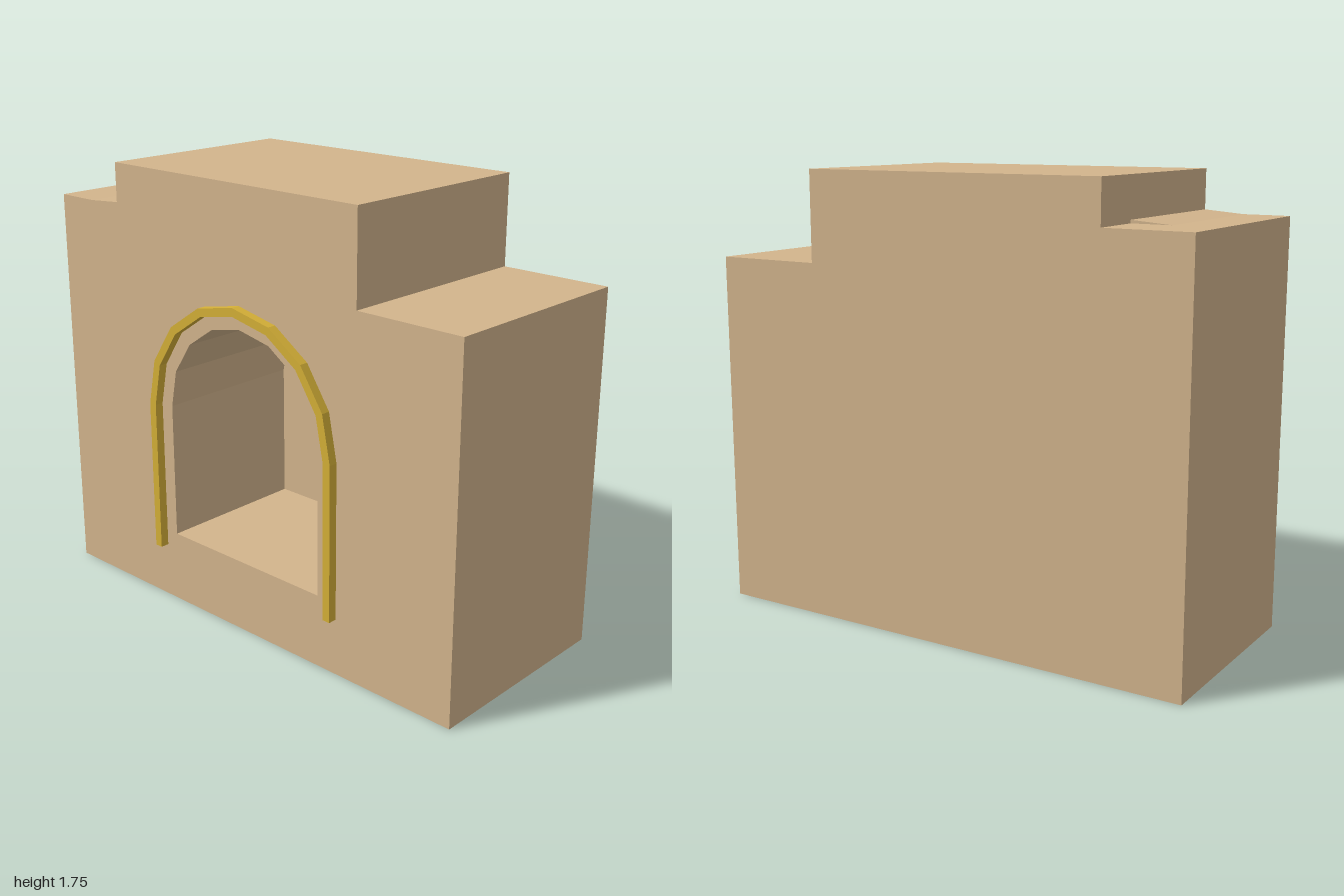
import * as THREE from 'three';

const FRONT = 0.4, BACK = -0.435, NICHE_BACK = -0.22;
const SPRING = 0.835; // height where the arches start to curve

// Upright arch outline, counter-clockwise from its lower right corner
function archPoints(radius, bottom, steps = 8) {
  const pts = [new THREE.Vector2(radius, bottom)];
  for (let i = 0; i <= steps; i++) {
    const a = (i / steps) * Math.PI;
    pts.push(new THREE.Vector2(radius * Math.cos(a), SPRING + radius * Math.sin(a)));
  }
  pts.push(new THREE.Vector2(-radius, bottom));
  return pts;
}

// Stepped wall outline; shelfEnd is the height where the right shelf meets the tall block
function wallShape(shelfEnd) {
  return new THREE.Shape([
    [-1, 0], [1, 0], [1, 1.4], [0.56, 1.4], [0.56, 1.75],
    [-0.665, 1.75], [-0.665, shelfEnd], [-0.82, 1.585], [-1, 1.585],
  ].map(([x, y]) => new THREE.Vector2(x, y)));
}

function slab(name, shape, z0, z1, material) {
  const geo = new THREE.ExtrudeGeometry(shape, { depth: z1 - z0, bevelEnabled: false });
  geo.translate(0, 0, z0);
  const mesh = new THREE.Mesh(geo, material);
  mesh.name = name;
  return mesh;
}

export function createModel() {
  const stone = new THREE.MeshStandardMaterial({ color: 0xd2b48c });
  stone.name = 'sandstone';
  const gold = new THREE.MeshStandardMaterial({ color: 0xd4af37 });
  gold.name = 'gold';

  const group = new THREE.Group();
  group.name = 'archedNiche';

  // Front of the wall, pierced by the niche, with a slightly lifted shelf end
  const front = wallShape(1.597);
  front.holes.push(new THREE.Path(archPoints(0.385, 0.29)));
  group.add(slab('wallFront', front, NICHE_BACK, FRONT, stone));

  // Solid rear of the wall, which closes the niche
  group.add(slab('wallBack', wallShape(1.585), BACK, NICHE_BACK, stone));

  // Thin raised arch around the niche
  const trim = new THREE.Shape([
    ...archPoints(0.475, 0.225),
    ...archPoints(0.442, 0.225).reverse(),
  ]);
  group.add(slab('archTrim', trim, FRONT, 0.435, gold));

  return group;
}
